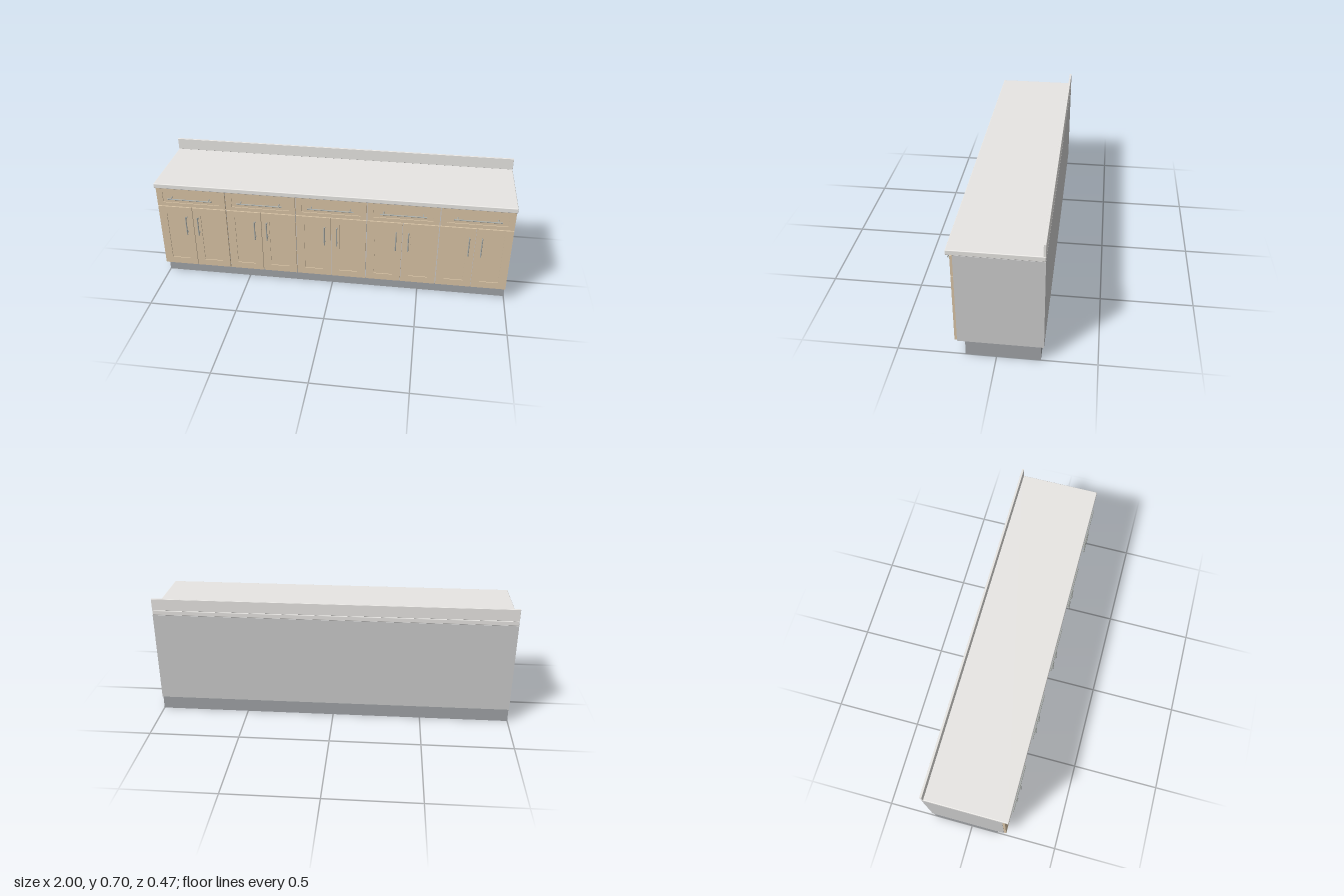
import * as THREE from 'three';
import { RoundedBoxGeometry } from 'three/addons/geometries/RoundedBoxGeometry.js';

const mat = (color) => new THREE.MeshStandardMaterial({ color });
const wood = mat(0xd8c3a5), carcassGrey = mat(0xc2c2c2), stone = mat(0xe8e6e3);
const plinthGrey = mat(0xa0a3a7), metal = mat(0xa8aca8);

const BACK = 0.195, FRONT = 0.208, BAR_Z = 0.2315;

function add(parent, name, geometry, material, x = 0, y = 0, z = 0) {
  const mesh = new THREE.Mesh(geometry, material);
  mesh.name = name;
  mesh.position.set(x, y, z);
  parent.add(mesh);
  return mesh;
}

// Box given by its y and z limits, full width of the unit
function slab(parent, name, y0, y1, z0, z1, material, radius = 0) {
  const size = [2, y1 - y0, z1 - z0];
  const geometry = radius ? new RoundedBoxGeometry(...size, 3, radius) : new THREE.BoxGeometry(...size);
  add(parent, name, geometry, material, 0, (y0 + y1) / 2, (z0 + z1) / 2);
}

function rect(path, w, h) {
  path.moveTo(-w / 2, -h / 2);
  path.lineTo(w / 2, -h / 2);
  path.lineTo(w / 2, h / 2);
  path.lineTo(-w / 2, h / 2);
  path.closePath();
  return path;
}

// Framed front with a shallow recessed panel
function panelFront(name, w, h, borderX, borderY) {
  const group = new THREE.Group();
  group.name = name;
  const innerW = w - 2 * borderX, innerH = h - 2 * borderY;
  const shape = rect(new THREE.Shape(), w, h);
  shape.holes.push(rect(new THREE.Path(), innerW, innerH));
  const depth = FRONT - BACK;
  add(group, 'frame', new THREE.ExtrudeGeometry(shape, { depth, bevelEnabled: false }), wood, 0, 0, BACK);
  add(group, 'recessedPanel', new THREE.BoxGeometry(innerW, innerH, 0.008), wood, 0, 0, BACK + 0.004);
  return group;
}

// Vertical bar handle on two posts
function barHandle(length, inset) {
  const group = new THREE.Group();
  group.name = 'handle';
  add(group, 'bar', new THREE.CylinderGeometry(0.0035, 0.0035, length, 16), metal, 0, 0, BAR_Z);
  const postStart = 0.202, postLength = BAR_Z - postStart;
  for (const s of [-1, 1]) {
    const post = add(group, 'post', new THREE.CylinderGeometry(0.003, 0.003, postLength, 12), metal,
      0, s * (length / 2 - inset), postStart + postLength / 2);
    post.rotation.x = Math.PI / 2;
  }
  return group;
}

export function createModel() {
  const model = new THREE.Group();
  model.name = 'baseCabinetRun';

  // Body, plinth and worktop
  slab(model, 'plinth', 0, 0.083, -0.22, 0.155, plinthGrey);
  slab(model, 'carcass', 0.083, 0.602, -0.234, BACK, carcassGrey);
  slab(model, 'worktop', 0.602, 0.63, -0.234, 0.228, stone, 0.004);
  slab(model, 'backsplash', 0.63, 0.697, -0.234, -0.222, stone, 0.0015);

  // Five units: one drawer above a pair of doors
  for (let i = 0; i < 5; i++) {
    const unit = new THREE.Group();
    unit.name = 'cabinetUnit';
    unit.position.x = -0.8 + i * 0.4;

    const drawer = panelFront('drawer', 0.395, 0.116, 0.034, 0.022);
    drawer.position.y = 0.539;
    const pull = barHandle(0.256, 0.02);
    pull.rotation.z = Math.PI / 2;
    drawer.add(pull);
    unit.add(drawer);

    for (const s of [-1, 1]) {
      const door = panelFront('door', 0.196, 0.389, 0.045, 0.04);
      door.position.set(s * 0.0995, 0.2815, 0);
      const handle = barHandle(0.117, 0.012);
      handle.position.set(-s * 0.065, 0.087, 0);
      door.add(handle);
      unit.add(door);
    }
    model.add(unit);
  }
  return model;
}
